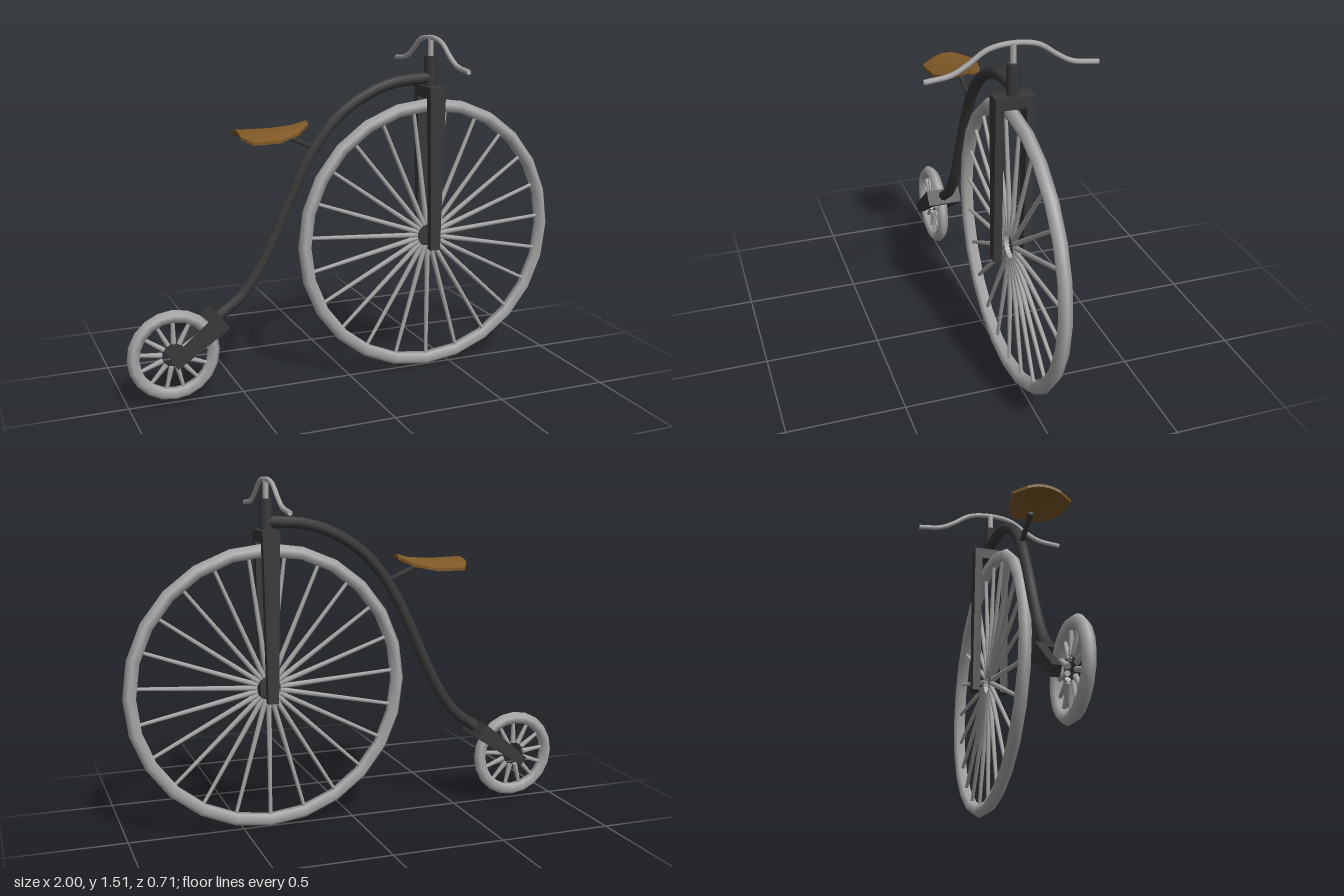
import * as THREE from 'three';

export function createModel() {
  const mat = (name, color, side = THREE.FrontSide) => {
    const m = new THREE.MeshStandardMaterial({ color, side });
    m.name = name;
    return m;
  };
  const steel = mat('light steel', 0xa9a9a9);
  const iron = mat('dark iron', 0x383838);
  const leather = mat('brown leather', 0x7d5726, THREE.DoubleSide);

  const model = new THREE.Group();
  model.name = 'highWheelBicycle';
  const add = (parent, name, geometry, material) => {
    const mesh = new THREE.Mesh(geometry, material);
    mesh.name = name;
    parent.add(mesh);
    return mesh;
  };
  const v = (x, y, z = 0) => new THREE.Vector3(x, y, z);

  // straight round bar between two points
  function bar(name, a, b, radius, sides, material) {
    const dir = b.clone().sub(a);
    const mesh = add(model, name, new THREE.CylinderGeometry(radius, radius, dir.length(), sides), material);
    mesh.position.copy(a).add(b).multiplyScalar(0.5);
    mesh.quaternion.setFromUnitVectors(v(0, 1), dir.normalize());
    return mesh;
  }

  // wheel: rim plus tapered spokes that merge into an open hub
  function wheel(name, x, y, outer, tube, segments, spokes, startAngle) {
    const g = new THREE.Group();
    g.name = name;
    g.position.set(x, y, 0);
    add(g, 'rim', new THREE.TorusGeometry(outer - tube, tube, 5, segments), steel);
    const inner = 0.052, end = outer - tube * 1.5;
    for (let i = 0; i < spokes; i++) {
      const geo = new THREE.CylinderGeometry(0.008, 0.012, end - inner, 6);
      geo.translate(0, (inner + end) / 2, 0);
      add(g, 'spoke', geo, steel).rotation.z = startAngle + (i / spokes) * Math.PI * 2;
    }
    model.add(g);
  }
  wheel('frontWheel', 0.38, 0.62, 0.62, 0.03, 24, 23, Math.PI);
  wheel('rearWheel', -0.8, 0.212, 0.2, 0.028, 20, 13, 0);

  // fork: two tapered blades joined by a crown, running up local y
  function fork(name, x, y, length, tilt) {
    const g = new THREE.Group();
    g.name = name;
    g.position.set(x, y, 0);
    g.rotation.z = tilt;
    const top = 0.0375, bottom = 0.0225, crown = 0.05;
    const slab = (y0, y1, w0, w1, depth, z) => new THREE.ExtrudeGeometry(
      new THREE.Shape([[-w0, y0], [w0, y0], [w1, y1], [-w1, y1]].map(p => new THREE.Vector2(...p))),
      { depth, bevelEnabled: false }).translate(0, 0, z);
    add(g, 'leftBlade', slab(0, length, bottom, top, 0.035, 0.047), iron);
    add(g, 'rightBlade', slab(0, length, bottom, top, 0.035, -0.082), iron);
    const lower = top - (top - bottom) * crown / length;
    add(g, 'crown', slab(length - crown, length, lower, top, 0.094, -0.047), iron);
    model.add(g);
  }
  fork('frontFork', 0.38, 0.567, 0.728, 0);
  fork('rearFork', -0.815, 0.193, 0.275, -0.925);

  // curved backbone
  const spine = new THREE.CatmullRomCurve3([
    v(0.38, 1.33), v(0.195, 1.313), v(0.06, 1.26), v(-0.056, 1.18), v(-0.168, 1.045),
    v(-0.26, 0.874), v(-0.35, 0.676), v(-0.43, 0.527), v(-0.5, 0.436), v(-0.61, 0.353)]);
  add(model, 'backbone', new THREE.TubeGeometry(spine, 28, 0.025, 8), iron);

  // steering head, stem and handlebar
  bar('steeringHead', v(0.38, 1.27), v(0.38, 1.425), 0.028, 6, iron);
  bar('stem', v(0.38, 1.42), v(0.38, 1.505), 0.013, 8, steel);
  const half = [[0.104, 1.488], [0.18, 1.438], [0.245, 1.403], [0.353, 1.388]];
  const barPath = new THREE.CatmullRomCurve3([
    ...half.slice().reverse().map(([z, y]) => v(0.38, y, -z)),
    v(0.38, 1.504),
    ...half.map(([z, y]) => v(0.38, y, z))]);
  add(model, 'handlebar', new THREE.TubeGeometry(barPath, 28, 0.011, 6), steel);
  for (const s of [-1, 1]) {
    bar('handlebarEnd', v(0.38, 1.388, s * 0.35), v(0.38, 1.388, s * 0.354), 0.011, 6, steel);
  }

  // saddle post
  bar('saddlePost', v(-0.16, 1.055), v(-0.315, 1.125), 0.012, 6, iron);

  // saddle: drooping shell; stations are x, half width, centre height, side height
  const stations = [
    [-0.507, 0.07, 1.152, 1.135], [-0.473, 0.126, 1.15, 1.118], [-0.355, 0.11, 1.15, 1.116],
    [-0.26, 0.07, 1.158, 1.135], [-0.2, 0.028, 1.174, 1.166]];
  const across = 6, ring = 2 * (across + 1), pos = [], idx = [];
  for (const [x, w, yc, ys] of stations) {
    for (let k = 0; k < ring; k++) {
      const under = k > across;
      const t = (under ? ring - 1 - k : k) / across * 2 - 1;
      pos.push(x, yc + (ys - yc) * t * t - (under ? 0.013 : 0), t * w);
    }
  }
  for (let i = 0; i < stations.length - 1; i++) {
    for (let k = 0; k < ring; k++) {
      const a = i * ring + k, b = i * ring + (k + 1) % ring;
      idx.push(a, b, a + ring, b, b + ring, a + ring);
    }
  }
  // close the back and nose
  const last = (stations.length - 1) * ring;
  for (let k = 0; k < across; k++) {
    const m = ring - 1 - k;
    idx.push(k, m, k + 1, k + 1, m, m - 1);
    idx.push(last + k, last + k + 1, last + m, last + k + 1, last + m - 1, last + m);
  }
  const saddle = new THREE.BufferGeometry();
  saddle.setAttribute('position', new THREE.Float32BufferAttribute(pos, 3));
  saddle.setIndex(idx);
  const shell = saddle.toNonIndexed();
  shell.computeVertexNormals();
  add(model, 'saddle', shell, leather);

  return model;
}
